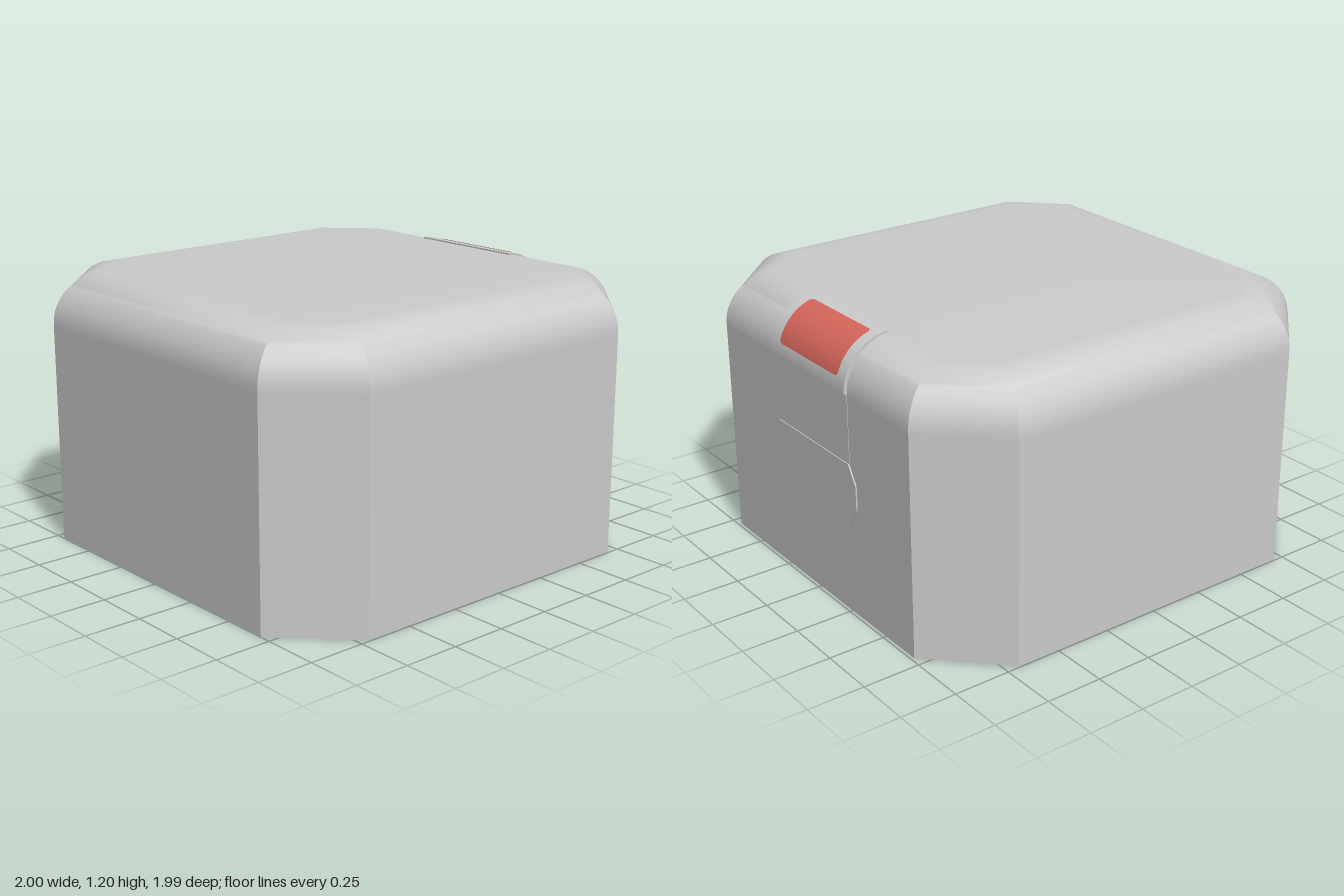
import * as THREE from 'three';
import { toCreasedNormals } from 'three/addons/utils/BufferGeometryUtils.js';
import { ParametricGeometry } from 'three/addons/geometries/ParametricGeometry.js';

const HALF = 0.993, CORNER = 0.70, SEAM = 0.977, TOP = 1.194, R = 0.213;
const CX = -0.007;                 // body is shifted slightly to make room for the latch
const grey = new THREE.MeshStandardMaterial({ color: 0xcccccc });
const red = new THREE.MeshStandardMaterial({ color: 0xd8675c, side: THREE.DoubleSide });

// Chamfered square, inset by d, counter-clockwise seen from above
function octagon(d) {
  const h = HALF - d, c = CORNER - d * Math.tan(Math.PI / 8);
  return [[h, c], [h, -c], [c, -h], [-c, -h], [-h, -c], [-h, c], [-c, h], [c, h]];
}

// Capped loft through octagons given as [inset, height], bottom to top
function loft(sections) {
  const pos = [], idx = [], n = 8, last = sections.length - 1;
  for (const [d, y] of sections) for (const [x, z] of octagon(d)) pos.push(x + CX, y, z);
  for (let s = 0; s < last; s++) {
    for (let i = 0; i < n; i++) {
      const a = s * n + i, b = s * n + (i + 1) % n;
      idx.push(a, b, b + n, a, b + n, a + n);
    }
  }
  for (let i = 1; i < n - 1; i++) {
    idx.push(0, i + 1, i);
    idx.push(last * n, last * n + i, last * n + i + 1);
  }
  const g = new THREE.BufferGeometry();
  g.setAttribute('position', new THREE.Float32BufferAttribute(pos, 3));
  g.setIndex(idx);
  return toCreasedNormals(g, Math.PI / 6);
}

export function createModel() {
  const group = new THREE.Group();
  const add = (name, geometry, material = grey) => {
    const mesh = new THREE.Mesh(geometry, material);
    mesh.name = name;
    group.add(mesh);
    return mesh;
  };

  // Lower box
  add('body', loft([[0, 0], [0, SEAM]]));

  // Lid with a quarter-round rim
  const rim = [];
  for (let i = 0; i <= 16; i++) {
    const a = (i / 16) * Math.PI / 2;
    rim.push([R * (1 - Math.cos(a)), SEAM + (TOP - SEAM) * Math.sin(a)]);
  }
  add('lid', loft(rim));

  // Latch: curved band wrapped over the rim on the +x side
  const lx = 0.785, ly = 0.985, lr = 0.215;
  const band = new THREE.Shape();
  band.moveTo(lx + lr, ly - 0.012);
  band.absarc(lx, ly, lr, 0, Math.PI / 2, false);
  band.lineTo(lx, ly + lr - 0.03);
  band.absarc(lx, ly, lr - 0.03, Math.PI / 2, 0, true);
  band.lineTo(lx + lr - 0.03, ly - 0.012);
  const latch = new THREE.ExtrudeGeometry(band, { depth: 0.55, bevelEnabled: false, curveSegments: 20 });
  latch.translate(0, 0, -0.275);
  add('latch', toCreasedNormals(latch, Math.PI / 6));

  // Coloured button on the latch, with rounded ends
  const a0 = 0.26, a1 = 1.36, br = lr + 0.0015, corner = 0.02;
  const button = new ParametricGeometry((u, v, target) => {
    const t = (1 - Math.cos(u * Math.PI)) / 2;
    const a = a0 + (a1 - a0) * t;
    const end = Math.min(a - a0, a1 - a) * br;
    const k = Math.max(0, corner - end);
    const w = 0.222 - corner + Math.sqrt(Math.max(0, corner * corner - k * k));
    target.set(lx + br * Math.cos(a), ly + br * Math.sin(a), w * (1 - 2 * v));
  }, 32, 4);
  add('latchButton', button, red);

  // Faint strap panel between latch and side plate
  const strap = add('strapPanel', new THREE.BoxGeometry(0.02, 0.31, 0.55));
  strap.position.set(HALF + CX + 0.002 - 0.01, 0.82, 0);

  // Side plate with clipped corners
  const plate = new THREE.Shape([
    [-0.27, 0.41], [0.27, 0.41], [0.32, 0.49], [0.32, 0.60],
    [0.27, 0.68], [-0.27, 0.68], [-0.32, 0.60], [-0.32, 0.49],
  ].map(([x, y]) => new THREE.Vector2(x, y)));
  const plateGeo = new THREE.ExtrudeGeometry(plate, { depth: 0.025, bevelEnabled: false });
  plateGeo.rotateY(Math.PI / 2);
  add('sidePlate', plateGeo).position.x = HALF + CX + 0.006 - 0.025;

  return group;
}
